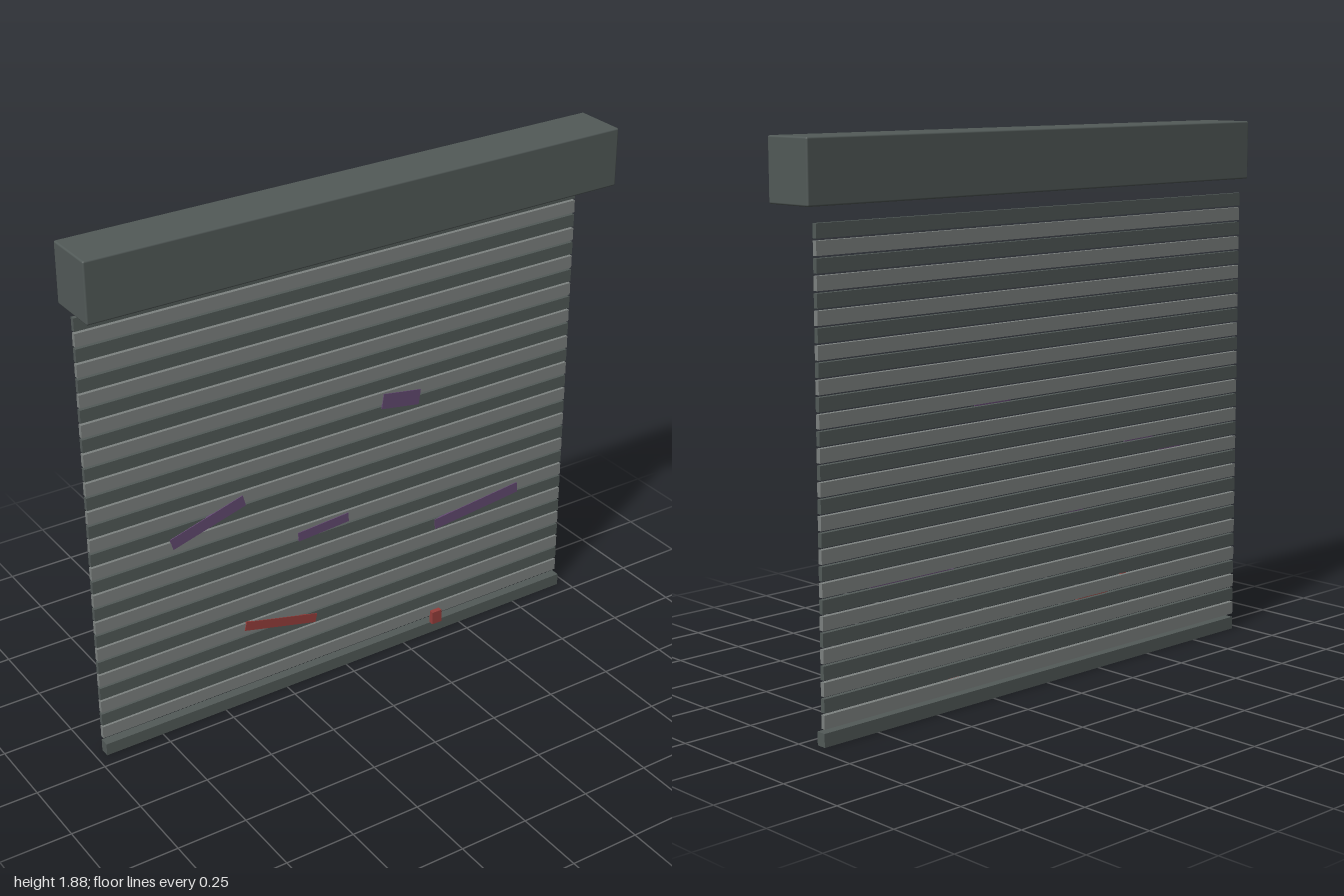
import * as THREE from 'three';
import { RoundedBoxGeometry } from 'three/addons/geometries/RoundedBoxGeometry.js';

const material = (name, color) => {
  const m = new THREE.MeshStandardMaterial({ color });
  m.name = name;
  return m;
};

export function createModel() {
  const group = new THREE.Group();
  group.name = 'rollerShutter';
  const darkMetal = material('darkMetal', 0x525a58);
  const lightMetal = material('lightMetal', 0x7d8280);
  const purplePaint = material('purplePaint', 0x644a72);
  const redPaint = material('redPaint', 0x963f3c);

  const add = (name, geometry, mat, x, y, z, tilt = 0) => {
    const mesh = new THREE.Mesh(geometry, mat);
    mesh.name = name;
    mesh.position.set(x, y, z);
    mesh.rotation.z = THREE.MathUtils.degToRad(tilt);
    group.add(mesh);
  };

  // Roll housing across the top
  add('housing', new RoundedBoxGeometry(2, 0.205, 0.19, 2, 0.006), darkMetal, 0, 1.7725, 0);

  // Curtain of alternating slats with narrow gaps
  const slat = new THREE.BoxGeometry(1.93, 0.045, 0.016);
  for (let i = 0; i < 30; i++) {
    add('slat', slat, i % 2 ? darkMetal : lightMetal, 0, 0.081 + i * 0.0523, -0.079);
  }

  // Bottom bar and lock
  add('bottomBar', new THREE.BoxGeometry(1.93, 0.045, 0.035), darkMetal, 0, 0.0225, -0.0685);
  add('lock', new THREE.BoxGeometry(0.04, 0.05, 0.018), redPaint, 0.388, 0.07, -0.044);

  // Painted strokes: x, y, length, height, tilt in degrees, paint
  const strokes = [
    [0.24, 1.0, 0.155, 0.056, -9, purplePaint],
    [-0.532, 0.763, 0.29, 0.042, 16, purplePaint],
    [-0.08, 0.595, 0.205, 0.034, 4, purplePaint],
    [0.578, 0.467, 0.37, 0.04, 6, purplePaint],
    [-0.258, 0.268, 0.295, 0.034, -13.5, redPaint],
  ];
  for (const [x, y, length, height, tilt, paint] of strokes) {
    add('paintStroke', new THREE.BoxGeometry(length, height, 0.006), paint, x, y, -0.071, tilt);
  }
  return group;
}
